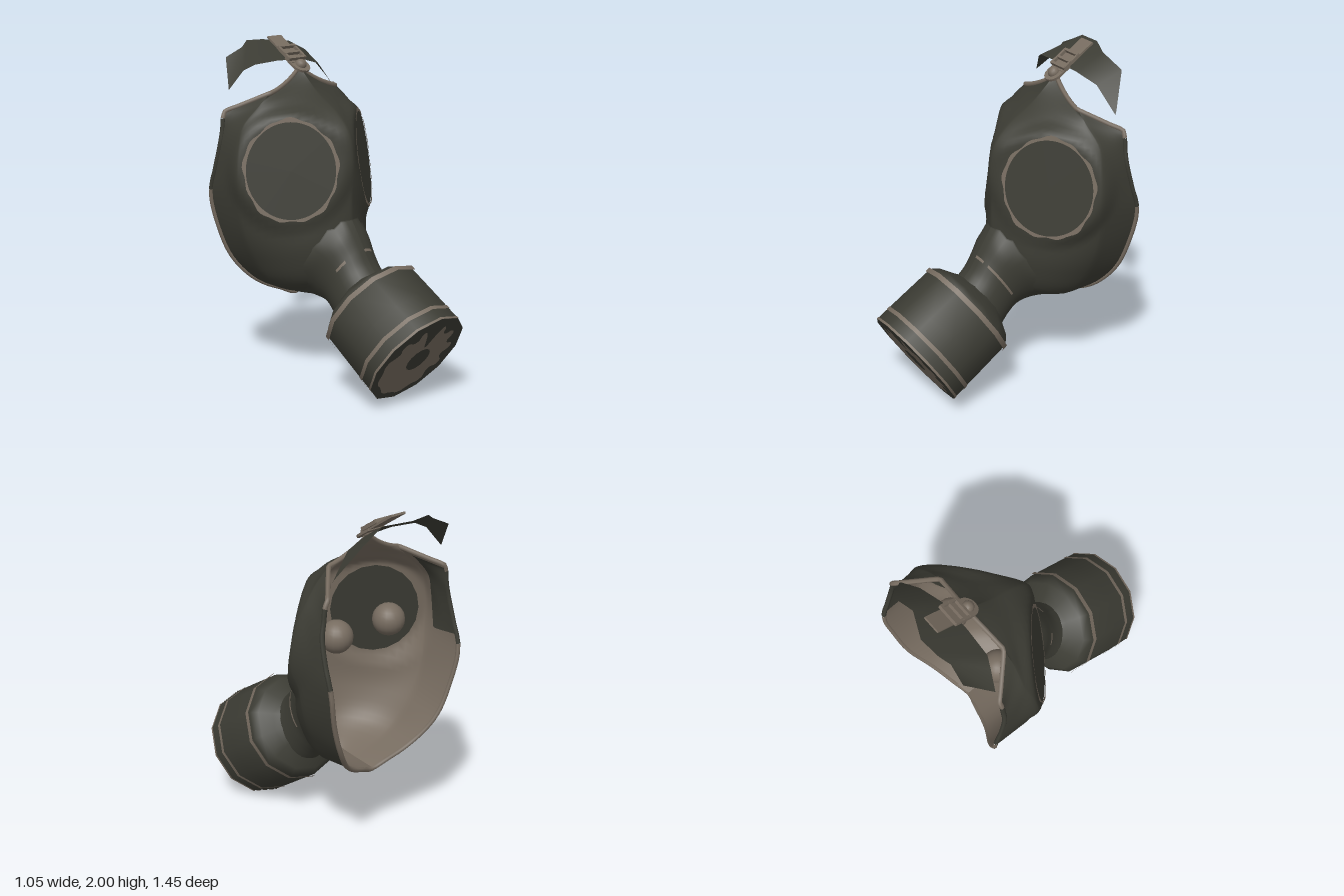
import * as THREE from 'three';

const rubber = new THREE.MeshStandardMaterial({ color: 0x3c3c34 });
rubber.name = 'dark rubber';
const worn = new THREE.MeshStandardMaterial({ color: 0x776c60 });
worn.name = 'worn tan';
const cloth = new THREE.MeshStandardMaterial({ color: 0x3c3c34, side: THREE.DoubleSide });
cloth.name = 'dark strap';

const V = (x, y, z) => new THREE.Vector3(x, y, z);
const { lerp, smoothstep } = THREE.MathUtils;

function add(parent, name, geometry, material) {
  const mesh = new THREE.Mesh(geometry, material);
  mesh.name = name;
  parent.add(mesh);
  return mesh;
}

// Grid surface from point(u, v); pick(i, j) gives the material index of each cell.
function grid(nu, nv, point, pick = () => 0, flip = false) {
  const pos = [], cells = [[], []];
  for (let j = 0; j <= nv; j++)
    for (let i = 0; i <= nu; i++) pos.push(...point(i / nu, j / nv).toArray());
  for (let j = 0; j < nv; j++)
    for (let i = 0; i < nu; i++) {
      const a = j * (nu + 1) + i, b = a + 1, c = a + nu + 1, d = c + 1;
      cells[pick(i, j)].push(...(flip ? [a, b, c, b, d, c] : [a, c, b, b, c, d]));
    }
  const g = new THREE.BufferGeometry();
  g.setAttribute('position', new THREE.Float32BufferAttribute(pos, 3));
  g.setIndex([...cells[0], ...cells[1]]);
  g.addGroup(0, cells[0].length, 0);
  g.addGroup(cells[0].length, cells[1].length, 1);
  g.computeVertexNormals();
  return g;
}

// Eye lens plane on the +x side
const lensCentre = V(0.29, 1.295, -0.178);
const lensNormal = V(0.62, 0.138, 0.77).normalize();

// Face sections from forehead to chin: front line, widest side, open rear rim
const front = [[0, 1.85, -0.42], [0, 1.7, -0.25], [0, 1.6, -0.09], [0, 1.5, 0], [0, 1.35, 0.03],
  [0, 1.15, 0.02], [0, 0.95, 0.02], [0, 0.8, 0], [0, 0.62, -0.06], [0, 0.49, -0.22]];
const side = [[0.26, 1.715, -0.385], [0.34, 1.65, -0.39], [0.45, 1.54, -0.41], [0.495, 1.42, -0.4], [0.51, 1.27, -0.4],
  [0.495, 1.1, -0.41], [0.455, 0.9, -0.41], [0.385, 0.74, -0.4], [0.27, 0.58, -0.36], [0, 0.475, -0.34]];
const rear = [[0.44, 1.61, -0.57], [0.455, 1.58, -0.57], [0.465, 1.5, -0.57], [0.48, 1.42, -0.575], [0.49, 1.28, -0.61],
  [0.49, 1.13, -0.655], [0.45, 0.92, -0.64], [0.37, 0.72, -0.61], [0.24, 0.57, -0.54], [0, 0.46, -0.47]];
const [frontLine, sideLine, rearLine] = [front, side, rear].map(
  (list) => new THREE.CatmullRomCurve3(list.map((p) => V(...p))));

function facePoint(u, v) {
  const s = u * 2 - 1, t = Math.abs(s), turn = 0.72;
  const F = frontLine.getPoint(v), S = sideLine.getPoint(v), R = rearLine.getPoint(v);
  let p;
  if (t <= turn) {
    // the forehead runs up to a narrow peak; lower sections are rounder
    const bulge = lerp(0.78, 1.27, smoothstep(v, 0, 0.13)) + 0.53 * smoothstep(v, 0.55, 0.85);
    const a = (t / turn) * Math.PI / 2, e = 2 / bulge;
    const k = 1 - Math.max(0, Math.cos(a)) ** e;
    p = V(S.x * Math.sin(a) ** e, lerp(F.y, S.y, k), lerp(F.z, S.z, k));
  } else p = S.lerp(R, (t - turn) / (1 - turn));
  // flatten the seat of the lens
  const d = p.clone().sub(lensCentre), h = d.dot(lensNormal);
  const r = d.addScaledVector(lensNormal, -h).length();
  p.addScaledVector(lensNormal, -h * (1 - smoothstep(r, 0.28, 0.37)));
  if (t < 1e-6) p.x = 0;
  if (s < 0) p.x *= -1;
  return p;
}

function buildFace(group) {
  const nu = 48, nv = 44;
  const outer = grid(nu, nv, facePoint);
  add(group, 'faceShell', outer, [rubber, worn]);

  // Lining, set inward along the shell normals, with dark temple patches
  const P = outer.attributes.position, N = outer.attributes.normal;
  const inside = (u, v) => {
    const k = Math.round(v * nv) * (nu + 1) + Math.round(u * nu);
    return V().fromBufferAttribute(P, k).addScaledVector(V().fromBufferAttribute(N, k), -0.012);
  };
  const temple = (i, j) => (j > 1 && j < 22 && Math.abs(i + 0.5 - nu / 2) > nu / 2 - 5 ? 1 : 0);
  add(group, 'faceLining', grid(nu, nv, inside, temple, true), [worn, rubber]);

  // Bead around the opening: worn at forehead and jaw, dark at the temples
  const edge = [];
  for (let i = 0; i <= 24; i++) edge.push(facePoint(i / 24, 0));
  for (let j = 1; j <= 24; j++) edge.push(facePoint(1, j / 24));
  for (let j = 23; j > 0; j--) edge.push(facePoint(0, j / 24));
  for (const [from, to, material] of [[-3, 27, worn], [27, 37, rubber], [37, 59, worn], [59, 69, rubber]]) {
    const path = [];
    for (let i = from; i <= to; i++) path.push(edge[(i + 72) % 72]);
    add(group, 'rimBead', new THREE.TubeGeometry(new THREE.CatmullRomCurve3(path), 60, 0.014, 6), material);
  }
  return outer;
}

function buildEyes(group) {
  const ring = new THREE.Shape(), hole = new THREE.Path();
  for (let i = 0; i < 72; i++) {
    const a = i / 72 * Math.PI * 2;
    const r = 0.288 + 0.006 * Math.sin(5 * a) + 0.005 * Math.sin(13 * a);
    ring[i ? 'lineTo' : 'moveTo'](r * Math.cos(a), r * Math.sin(a));
    hole[i ? 'lineTo' : 'moveTo'](0.27 * Math.cos(a), 0.27 * Math.sin(a));
  }
  ring.holes.push(hole);
  for (const s of [1, -1]) {
    const eye = new THREE.Group();
    eye.name = s > 0 ? 'leftLens' : 'rightLens';
    eye.position.set(s * lensCentre.x, lensCentre.y, lensCentre.z);
    eye.lookAt(eye.position.clone().add(V(s * lensNormal.x, lensNormal.y, lensNormal.z)));
    eye.scale.set(0.95, 1.03, 1);
    add(eye, 'lensOutside', new THREE.CircleGeometry(0.272, 28), rubber).position.z = 0.004;
    add(eye, 'lensWornRing', new THREE.ShapeGeometry(ring), worn).position.z = 0.007;
    const back = add(eye, 'lensInside', new THREE.CircleGeometry(0.268, 20), rubber);
    back.position.z = -0.022;
    back.rotation.y = Math.PI;
    group.add(eye);
    add(group, 'eyeball', new THREE.SphereGeometry(0.093, 20, 14), worn).position.set(s * 0.2, 1.3, -0.385);
  }
}

// Bent neck: rings given by top y,z, bottom y,z and half width; the last ring sits on the face
function buildNeck(group, shell) {
  const rings = [[0.7, 0.23, 0.36, 0, 0.175], [0.76, 0.17, 0.43, -0.06, 0.168], [0.84, 0.12, 0.475, -0.12, 0.17],
    [0.93, 0.065, 0.492, -0.2, 0.195], [1.02, 0.02, 0.485, -0.3, 0.25]];
  const P = shell.attributes.position, nu = 32, nv = 24, meridians = [], endNormals = [];
  for (let i = 0; i <= nu; i++) {
    const a = i / nu * Math.PI * 2, k = (1 - Math.cos(a)) / 2;
    const path = rings.map(([ty, tz, by, bz, w]) => V(w * Math.sin(a), lerp(ty, by, k), lerp(tz, bz, k)));
    const q = V();
    let best = 0, near = 9;
    for (let n = 0; n < P.count; n++) {
      const gap = q.fromBufferAttribute(P, n).distanceToSquared(path[4]);
      if (gap < near) [best, near] = [n, gap];
    }
    endNormals.push(V().fromBufferAttribute(shell.attributes.normal, best));
    path[4].fromBufferAttribute(P, best).addScaledVector(endNormals[i], -0.004);
    meridians.push(new THREE.CatmullRomCurve3(path));
  }
  const wear = (i, j) => (j === 11 && (i < 9 && i !== 2 || i > 25 && i < 28) ? 1 : 0);
  const point = (u, v) => meridians[Math.round(u * nu)].getPoint(v);
  const neck = grid(nu, nv, point, wear, true);
  // blend the shading into the face
  endNormals.forEach((n, i) => neck.attributes.normal.setXYZ(nv * (nu + 1) + i, n.x, n.y, n.z));
  add(group, 'neck', neck, [rubber, worn]);
}

function buildFilter(group) {
  const can = new THREE.Group();
  can.name = 'filterCanister';
  can.position.set(0, 0.28, 0.545);
  can.rotation.x = 2.146;
  group.add(can);
  const profile = [[0.17, -0.53], [0.21, -0.505], [0.285, -0.465], [0.32, -0.425], [0.325, -0.2], [0.328, 0]];
  add(can, 'canisterBody', new THREE.LatheGeometry(profile.map(([r, y]) => new THREE.Vector2(r, y)), 12), rubber);
  for (const [y, h] of [[-0.41, 0.03], [-0.09, 0.024], [-0.007, 0.014]]) {
    add(can, 'wornBand', new THREE.CylinderGeometry(0.331, 0.331, h, 12, 1, true), worn).position.y = y;
  }
  const disc = (name, geometry, material, y) => add(can, name, geometry.rotateX(-Math.PI / 2), material).position.set(0, y, 0);
  disc('canisterFace', new THREE.CircleGeometry(0.328, 12), rubber, 0);

  // Scalloped worn patch with a notch towards the top
  const patch = new THREE.Shape();
  for (let i = 0; i < 120; i++) {
    const a = i / 120 * Math.PI * 2, fromTop = Math.abs(a - Math.PI / 2);
    const lower = smoothstep(-Math.cos(a - 0.9), -0.2, 0.8), wave = Math.sin(11 * a);
    let r = lerp(0.235, 0.275, lower) + lerp(0.025, 0.006, lower) * Math.sign(wave) * Math.abs(wave) ** 0.5;
    r = lerp(0.1, r, smoothstep(fromTop, 0.06, 0.3));
    patch[i ? 'lineTo' : 'moveTo'](r * Math.cos(a), r * Math.sin(a));
  }
  disc('wornPatch', new THREE.ShapeGeometry(patch), worn, 0.003);
  disc('canisterHub', new THREE.CircleGeometry(0.085, 14), rubber, 0.006);
}

function buildStraps(group) {
  // Torn head strap: lower and upper edge points across the head
  const low = [[-0.41, 1.73, -0.57], [-0.33, 1.84, -0.53], [-0.27, 1.87, -0.5], [-0.1, 1.88, -0.49], [0.1, 1.87, -0.49], [0.25, 1.83, -0.52], [0.39, 1.69, -0.55]];
  const high = [[-0.32, 1.9, -0.7], [-0.21, 1.95, -0.685], [-0.15, 1.985, -0.71], [-0.02, 1.98, -0.72], [0.13, 1.965, -0.65], [0.28, 1.9, -0.67], [0.385, 1.71, -0.56]];
  const band = grid(6, 1, (u, v) => V(...(v ? low : high)[Math.round(u * 6)]));
  add(group, 'headStrap', band, [cloth, cloth]);

  // Buckle and tongue over the forehead, local y running up and back
  const buckle = new THREE.Group();
  buckle.name = 'buckle';
  buckle.position.set(0, 1.845, -0.41);
  buckle.rotation.x = -1.0;
  group.add(buckle);
  const box = (name, w, h, d, x, y, z) => add(buckle, name, new THREE.BoxGeometry(w, h, d), worn).position.set(x, y, z);
  box('tongue', 0.105, 0.25, 0.012, 0, 0.15, 0.01);
  box('tab', 0.12, 0.08, 0.014, 0, 0.04, 0.006);
  add(buckle, 'tabEnd', new THREE.CylinderGeometry(0.06, 0.06, 0.014, 16).rotateX(Math.PI / 2), worn).position.set(0, 0, 0.006);
  add(buckle, 'stud', new THREE.SphereGeometry(0.034, 14, 8), worn).position.set(0, 0, 0.012);
  for (const s of [-1, 1]) box('buckleSide', 0.016, 0.12, 0.02, s * 0.06, 0.1, 0.024);
  for (const y of [0.045, 0.095, 0.155]) box('buckleBar', 0.13, 0.016, 0.02, 0, y, 0.026);
}

export function createModel() {
  const mask = new THREE.Group();
  mask.name = 'respiratorMask';
  const shell = buildFace(mask);
  buildEyes(mask);
  buildNeck(mask, shell);
  buildFilter(mask);
  buildStraps(mask);
  return mask;
}
